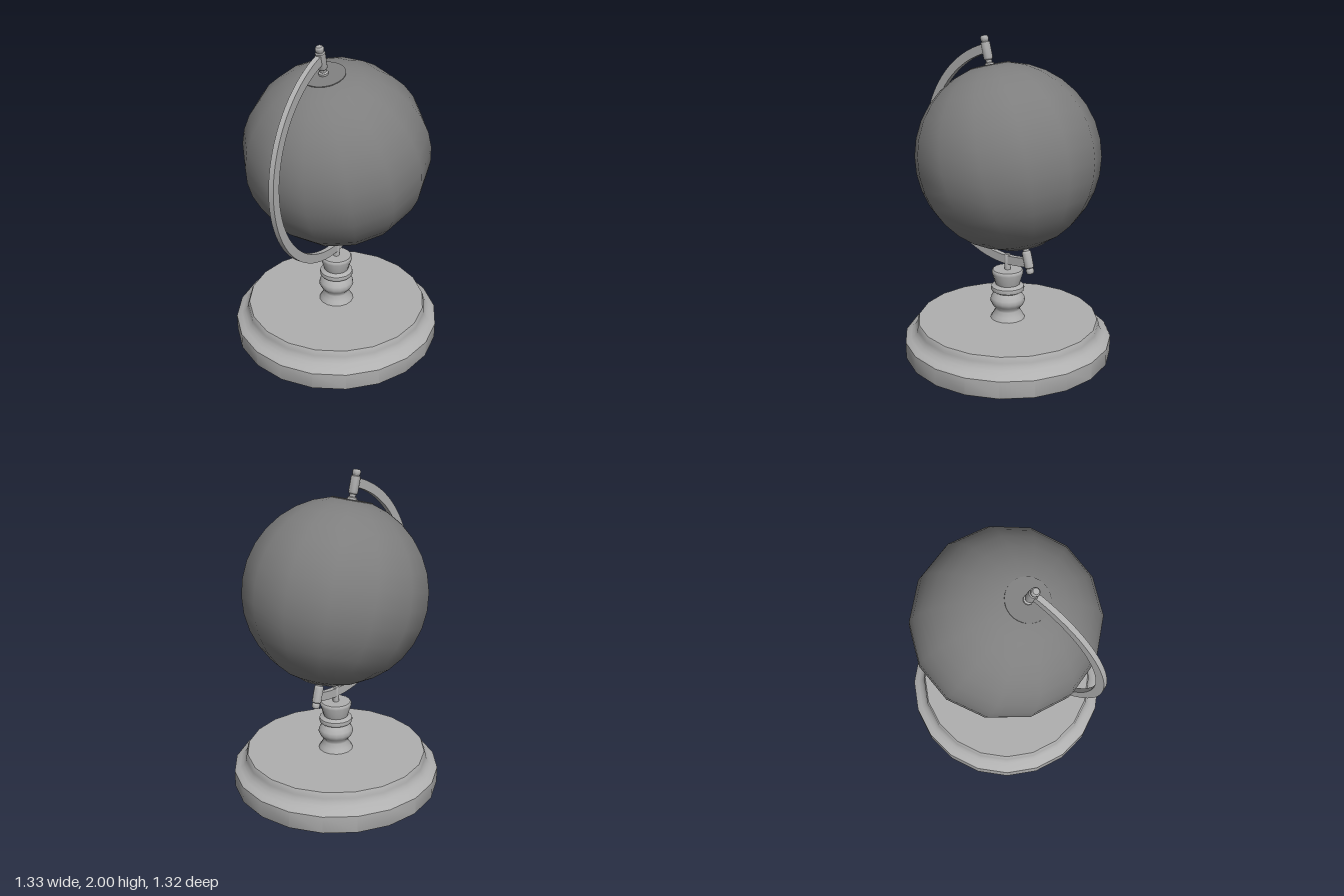
import * as THREE from 'three';
import { toCreasedNormals } from 'three/addons/utils/BufferGeometryUtils.js';

const YAW = 0.25;    // turn of the whole stand about the vertical
const TILT = 0.255;  // lean of the globe axis
const CENTRE_Y = 1.28;

const standMaterial = new THREE.MeshStandardMaterial({ color: 0xb0b0b0 });
const globeMaterial = new THREE.MeshStandardMaterial({ color: 0x7e7e7e });

function addMesh(parent, name, geometry, material = standMaterial) {
  const mesh = new THREE.Mesh(geometry, material);
  mesh.name = name;
  parent.add(mesh);
  return mesh;
}

// Turned part from [radius, y] pairs, listed bottom to top
function turned(parent, name, profile, sides, crease, material) {
  const points = profile.map(([r, y]) => new THREE.Vector2(r, y));
  const geometry = new THREE.LatheGeometry(points, sides);
  return addMesh(parent, name, toCreasedNormals(geometry, crease), material);
}

export function createModel() {
  const model = new THREE.Group();
  model.name = 'deskGlobe';
  const stand = new THREE.Group();
  stand.name = 'stand';
  stand.position.x = 0.005;
  stand.rotation.y = YAW;
  model.add(stand);

  // Wide round foot with a moulded shoulder
  turned(stand, 'base', [
    [0, 0], [0.655, 0], [0.66, 0.008], [0.66, 0.113], [0.652, 0.122], [0.625, 0.133],
    [0.603, 0.15], [0.59, 0.17], [0.583, 0.19], [0.582, 0.205], [0.572, 0.225], [0, 0.225],
  ], 20, 0.6);

  // Turned column: flare, bulge, ring and cup
  turned(stand, 'column', [
    [0.112, 0.222], [0.095, 0.25], [0.079, 0.28], [0.079, 0.293], [0.1, 0.317], [0.112, 0.342],
    [0.107, 0.365], [0.09, 0.387], [0.08, 0.4], [0.085, 0.408], [0.104, 0.413], [0.107, 0.425],
    [0.104, 0.441], [0.085, 0.449], [0.078, 0.455], [0.1, 0.528], [0.1, 0.543], [0.093, 0.551], [0, 0.551],
  ], 16, 0.85);

  // Peg that carries the arm
  turned(stand, 'armPeg', [[0.02, 0.545], [0.02, 0.647], [0.016, 0.652], [0, 0.652]], 10, 0.8);

  // Half-ring arm, from the top pin round the side to the bottom pin
  const start = Math.PI / 2 + TILT;
  const end = start + Math.PI;
  const outline = new THREE.Shape();
  outline.absarc(0, 0, 0.691, start, end, false);
  outline.absarc(0, 0, 0.635, end, start, true);
  const width = 0.032;
  const armGeometry = new THREE.ExtrudeGeometry(outline, {
    depth: width, bevelEnabled: false, curveSegments: 22,
  });
  armGeometry.translate(0, 0, -width / 2);
  addMesh(stand, 'arm', toCreasedNormals(armGeometry, 0.6)).position.y = CENTRE_Y;

  // Everything on the leaning axis
  const axis = new THREE.Group();
  axis.name = 'tiltedAxis';
  axis.position.y = CENTRE_Y;
  axis.rotation.z = TILT;
  stand.add(axis);

  // Globe, flattened under the polar discs
  const radius = 0.57;
  const capAngle = Math.asin(0.125 / radius);
  const rings = 14;
  const globe = [];
  for (let i = 0; i <= rings; i++) {
    const a = capAngle + (Math.PI - 2 * capAngle) * (i / rings);
    globe.push([radius * Math.sin(a), -radius * Math.cos(a)]);
  }
  turned(axis, 'globe', [[0, globe[0][1]], ...globe, [0, globe[rings][1]]], 14, 0.5, globeMaterial);

  // Matching polar discs and pivot pins
  for (const [side, turn] of [['top', 0], ['bottom', Math.PI]]) {
    const pole = new THREE.Group();
    pole.name = side + 'Pole';
    pole.rotation.z = turn;
    axis.add(pole);
    turned(pole, side + 'Disc', [[0.127, 0.545], [0.127, 0.56], [0, 0.56]], 32, 0.6, globeMaterial);
    turned(pole, side + 'Pin', [
      [0.029, 0.555], [0.029, 0.572], [0.019, 0.577], [0.019, 0.592], [0.027, 0.598], [0.029, 0.605],
      [0.029, 0.698], [0.021, 0.703], [0.021, 0.707], [0.025, 0.712], [0.025, 0.73], [0.018, 0.739], [0, 0.74],
    ], 10, 0.8);
  }

  return model;
}
